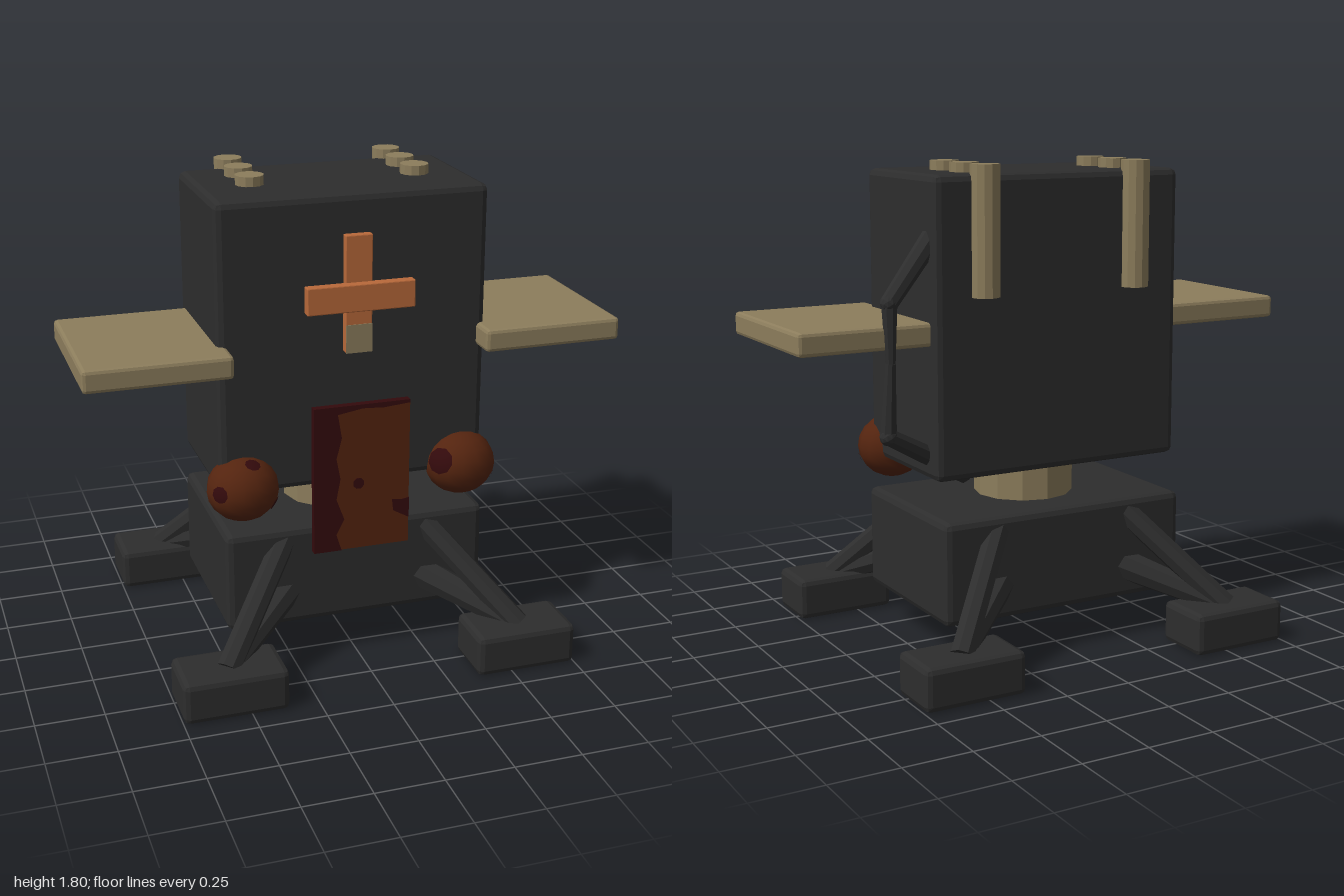
import * as THREE from 'three';
import { RoundedBoxGeometry } from 'three/addons/geometries/RoundedBoxGeometry.js';

const mat = (name, color) => {
  const m = new THREE.MeshStandardMaterial({ color });
  m.name = name;
  return m;
};

export function createModel() {
  const iron = mat('dark iron', 0x2d2d2d);
  const tan = mat('tan', 0x8c7d5c);
  const copper = mat('copper', 0xb8693a);
  const rust = mat('rust brown', 0x54240f);
  const stain = mat('dark stain', 0x330a0c);
  const model = new THREE.Group();

  const add = (name, geo, material, parent = model) => {
    const mesh = new THREE.Mesh(geo, material);
    mesh.name = name;
    parent.add(mesh);
    return mesh;
  };
  const facet = (geo) => {
    const g = geo.index ? geo.toNonIndexed() : geo;
    g.computeVertexNormals();
    return g;
  };
  // Box given by its limits, with optional chamfered edges
  const box = (name, [x0, x1], [y0, y1], [z0, z1], material, chamfer = 0) => {
    const size = [x1 - x0, y1 - y0, z1 - z0];
    const geo = chamfer
      ? facet(new RoundedBoxGeometry(...size, 1, chamfer))
      : new THREE.BoxGeometry(...size);
    const mesh = add(name, geo, material);
    mesh.position.set((x0 + x1) / 2, (y0 + y1) / 2, (z0 + z1) / 2);
    return mesh;
  };
  // Faceted, tapering rod between two points
  const rod = (name, a, b, ra, rb, material, sides = 8) => {
    const p = new THREE.Vector3(...a), q = new THREE.Vector3(...b);
    const dir = q.clone().sub(p);
    const mesh = add(name, facet(new THREE.CylinderGeometry(rb, ra, dir.length(), sides)), material);
    mesh.position.copy(p).add(q).multiplyScalar(0.5);
    mesh.quaternion.setFromUnitVectors(new THREE.Vector3(0, 1, 0), dir.normalize());
    return mesh;
  };
  // Flat outline extruded in z
  const plate = (name, points, z, depth, material) => {
    const shape = new THREE.Shape(points.map(([x, y]) => new THREE.Vector2(x, y)));
    add(name, new THREE.ExtrudeGeometry(shape, { depth, bevelEnabled: false }), material).position.z = z;
  };

  // Base, neck and body
  box('base', [-0.5, 0.5], [0.155, 0.54], [-0.33, 0.33], iron, 0.025);
  rod('neck', [0, 0.5, 0], [0, 0.72, 0], 0.188, 0.188, tan, 12);
  box('body', [-0.505, 0.505], [0.68, 1.765], [-0.28, 0.283], iron, 0.025);

  // Four feet, each with two struts
  for (const sx of [-1, 1]) {
    for (const sz of [-1, 1]) {
      const foot = box('foot', [-0.193, 0.193], [0, 0.158], [-0.115, 0.115], iron, 0.022);
      foot.position.x = sx * 0.555;
      foot.position.z = sz * 0.555;
      rod('upperStrut', [sx * 0.27, 0.49, sz * 0.29], [sx * 0.56, 0.14, sz * 0.56], 0.045, 0.045, iron);
      rod('lowerStrut', [sx * 0.26, 0.28, sz * 0.28], [sx * 0.56, 0.14, sz * 0.56], 0.06, 0.04, iron);
    }
  }

  // Side shelves and roof rods
  for (const s of [-1, 1]) {
    const shelf = box('shelf', [-0.265, 0.265], [1.165, 1.25], [-0.235, 0.388], tan, 0.014);
    shelf.position.x = s * 0.735;
    for (const z of [-0.283, -0.127, 0.028]) {
      rod('roofRod', [s * 0.312, 1.335, z], [s * 0.312, 1.8, z], 0.053, 0.053, tan, 12);
    }
  }

  // Cross on the front
  box('crossUpright', [-0.05, 0.05], [1.2, 1.63], [0.3, 0.333], copper, 0.004);
  box('crossBar', [-0.2, 0.2], [1.36, 1.46], [0.325, 0.365], copper, 0.004);
  box('crossWornFace', [-0.049, 0.049], [1.2, 1.305], [0.331, 0.336], tan);

  // Front apron with stains
  box('apron', [-0.183, 0.18], [0.458, 1.018], [0.357, 0.382], rust);
  plate('apronStain', [
    [-0.185, 0.456], [-0.08, 0.456], [-0.1, 0.52], [-0.07, 0.58], [-0.1, 0.66], [-0.085, 0.74],
    [-0.1, 0.82], [-0.08, 0.9], [-0.095, 0.99], [0.0, 1.005], [0.08, 1.0], [0.18, 1.008],
    [0.18, 1.02], [-0.185, 1.02],
  ], 0.355, 0.029, stain);
  const ring = (cx, cy, r) => Array.from({ length: 8 }, (_, i) => {
    const a = (i + 0.5) * Math.PI / 4;
    return [cx + r * Math.cos(a), cy + r * Math.sin(a)];
  });
  plate('apronSpot', ring(-0.015, 0.715, 0.022), 0.38, 0.004, stain);
  plate('apronSpot', [
    [0.12, 0.59], [0.145, 0.575], [0.181, 0.555], [0.181, 0.635], [0.15, 0.63], [0.115, 0.635],
  ], 0.38, 0.004, stain);

  // Front balls with stains: [dx, dy, cap angle]
  const ballSpots = {
    '-1': [[-0.78, 0.12, 0.26], [0.78, -0.42, 0.22], [0.19, 0.88, 0.22]],
    '1': [[-0.8, 0.3, 0.42], [0.84, -0.4, 0.22]],
  };
  for (const s of [-1, 1]) {
    const ball = new THREE.Group();
    ball.name = s > 0 ? 'leftBall' : 'rightBall';
    add('ballSurface', new THREE.SphereGeometry(0.122, 14, 10), rust, ball);
    for (const [dx, dy, angle] of ballSpots[s]) {
      const dir = new THREE.Vector3(dx, dy, Math.sqrt(Math.max(0, 1 - dx * dx - dy * dy))).normalize();
      const cap = new THREE.SphereGeometry(0.1235, 9, 3, 0, Math.PI * 2, 0, angle);
      add('ballStain', cap, stain, ball).quaternion.setFromUnitVectors(new THREE.Vector3(0, 1, 0), dir);
    }
    ball.scale.x = 1.1;
    ball.position.set(s * 0.422, 0.707, 0.275);
    model.add(ball);
  }

  // Bent pipe on the left side
  const bends = [[0.44, 1.59, -0.19], [0.66, 1.33, -0.23], [0.67, 0.86, -0.23], [0.32, 0.67, -0.13]];
  rod('pipeTop', bends[0], bends[1], 0.04, 0.032, iron);
  rod('pipeUpperMiddle', bends[1], [0.66, 1.12, -0.235], 0.03, 0.018, iron);
  rod('pipeLowerMiddle', [0.66, 1.12, -0.235], bends[2], 0.018, 0.03, iron);
  rod('pipeBottom', bends[2], bends[3], 0.032, 0.042, iron);
  for (const p of [bends[1], bends[2]]) {
    add('pipeElbow', facet(new THREE.IcosahedronGeometry(0.033, 1)), iron).position.set(...p);
  }

  return model;
}
